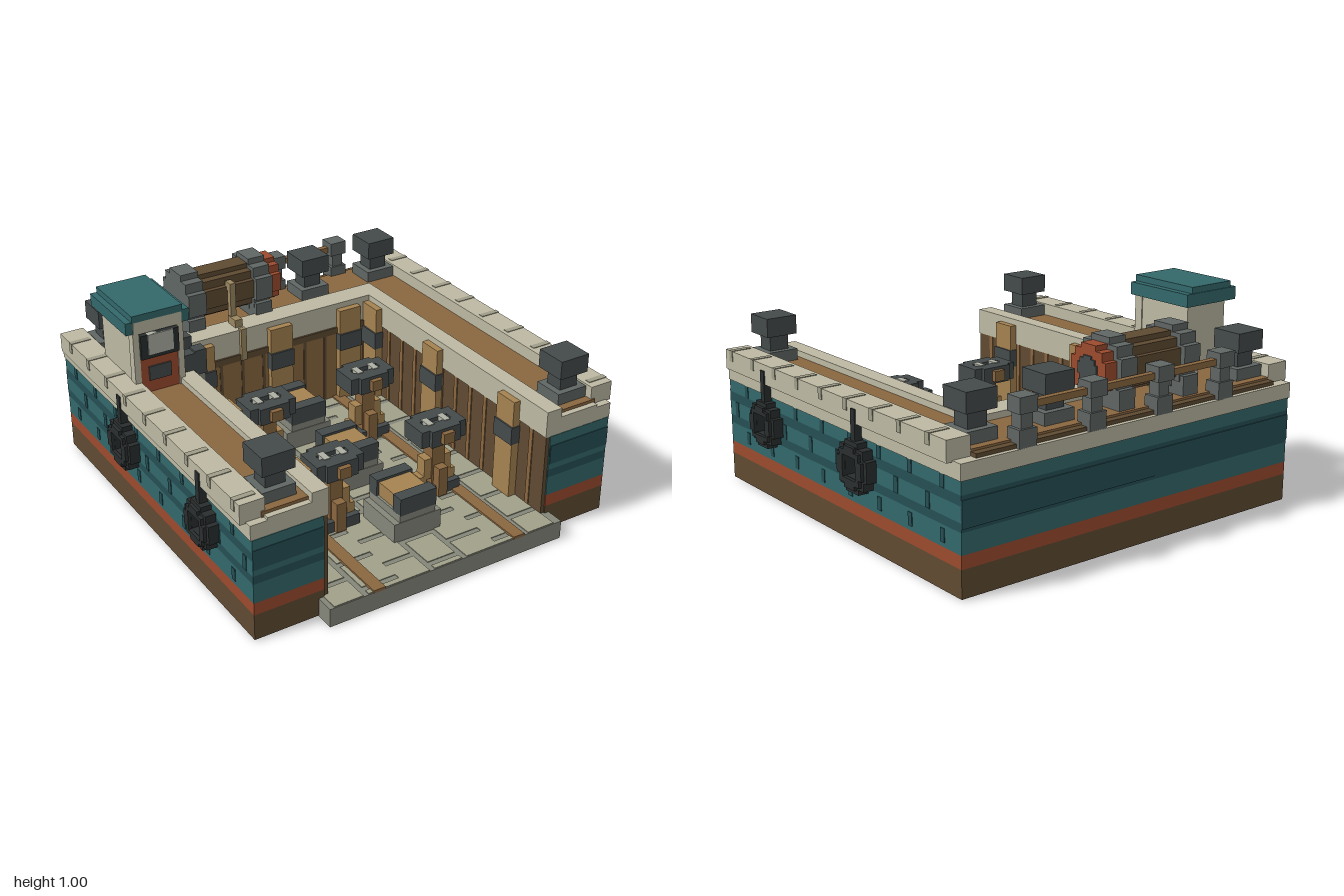
import * as THREE from 'three';

const palette = {
  cream: 0xbdb9a3, creamDark: 0x9f9d88, teal: 0x33686b, tealDark: 0x264f55, red: 0x9c4a2e,
  brown: 0x5f4a32, wood: 0x8a6640, lightWood: 0xa58250, iron: 0x444a4a, grey: 0x5f6664,
  stone: 0xa0a08a, stoneDark: 0x85867a, black: 0x2a2e2e, rope: 0x9a8760, pale: 0xaeb0a4,
};
const mats = {};
for (const k in palette) mats[k] = new THREE.MeshStandardMaterial({ color: palette[k], flatShading: true });

export function createModel() {
  const root = new THREE.Group();
  root.name = 'dryDock';

  // Box from its limits on each axis
  const box = (name, color, [x0, x1], [y0, y1], [z0, z1], parent = root) => {
    const m = new THREE.Mesh(new THREE.BoxGeometry(Math.abs(x1 - x0), y1 - y0, z1 - z0), mats[color]);
    m.position.set((x0 + x1) / 2, (y0 + y1) / 2, (z0 + z1) / 2);
    m.name = name;
    parent.add(m);
    return m;
  };
  const group = (name, x = 0, y = 0, z = 0) => {
    const g = new THREE.Group();
    g.name = name;
    g.position.set(x, y, z);
    root.add(g);
    return g;
  };
  const around = (c, h) => [c - h, c + h];

  // Stepped disc facing x, optionally with a square hole
  const steppedDisc = (name, color, x, r, hole = 0) => {
    const p = [[1, .42], [.78, .78], [.42, 1]].map(([a, b]) => [a * r, b * r]);
    const pts = [];
    const corner = [[p[0][0], p[0][1]], [p[1][0], p[0][1]], [p[1][0], p[1][1]], [p[2][0], p[1][1]], [p[2][0], p[2][1]]];
    const back = [...corner].reverse();
    corner.forEach(([a, b]) => pts.push([a, b]));
    back.forEach(([a, b]) => pts.push([-a, b]));
    corner.forEach(([a, b]) => pts.push([-a, -b]));
    back.forEach(([a, b]) => pts.push([a, -b]));
    const shape = new THREE.Shape(pts.map(([a, b]) => new THREE.Vector2(a, b)));
    if (hole) shape.holes.push(new THREE.Path([[-1, -1], [-1, 1], [1, 1], [1, -1]].map(([a, b]) => new THREE.Vector2(a * hole, b * hole))));
    const g = new THREE.ExtrudeGeometry(shape, { depth: x[1] - x[0], bevelEnabled: false });
    g.rotateY(Math.PI / 2).translate(x[0], 0, 0);
    const m = new THREE.Mesh(g, mats[color]);
    m.name = name;
    return m;
  };

  // Hull in coloured bands: two side walls and the rear wall
  const bands = [['brown', .004, .13], ['red', .13, .19], ['teal', .19, .285], ['tealDark', .285, .325],
    ['teal', .325, .395], ['tealDark', .395, .44], ['teal', .44, .5]];
  for (const [c, y0, y1] of bands) {
    for (const s of [-1, 1]) box('sideHull', c, [s * .595, s * .935], [y0, y1], [-.975, .89]);
    box('rearHull', c, [-.595, .595], [y0, y1], [-.975, -.56]);
  }
  box('rearBand', 'tealDark', [-.935, .935], [.3, .42], [-.979, -.97]);

  for (const s of [-1, 1]) {
    box('frontBand', 'tealDark', [s * .6, s * .935], [.355, .45], [.885, .893]);
    // Brick joints on the outer sides
    [[.21, .27, 0], [.325, .395, .1], [.44, .5, 0]].forEach(([y0, y1, off]) => {
      for (let z = -.85 + off; z < .88; z += .225)
        box('brickJoint', 'tealDark', [s * .93, s * .938], [y0, y1], around(z, .014));
    });
    // Copings and deck of the side walls
    box('lowerCoping', 'cream', [s * .58, s * .94], [.5, .572], [-.98, .888]);
    box('sideDeck', 'wood', [s * .64, s * .87], [.57, .6], [-.92, .86]);
    box('outerCoping', 'cream', [s * .85, s * .968], [.565, .66], [-.925, .853]);
    box('innerCoping', 'cream', [s * .57, s * .652], [.5, .63], [-.67, .888]);
    box('frontCurb', 'cream', [s * .64, s * .86], [.56, .585], [.83, .888]);
    for (let z = -.8; z < .85; z += .2)
      box('copingJoint', 'creamDark', [s * .87, s * .971], [.61, .663], around(z, .014));
  }

  // Rear deck and copings
  box('rearLowerCoping', 'cream', [-.94, .94], [.5, .572], [-.98, -.55]);
  box('rearDeck', 'wood', [-.85, .85], [.57, .6], [-.925, -.56]);
  box('rearPlank', 'brown', [-.85, .85], [.565, .59], [-.96, -.922]);
  box('rearInnerCoping', 'cream', [-.652, .652], [.5, .63], [-.672, -.55]);

  // Dock floor with paving joints and skid rails
  box('floorSlab', 'stoneDark', [-.623, .62], [0, .092], [-.55, .98]);
  for (let i = 0; i < 7; i++) {
    const x0 = -.6 + i * .172;
    for (let z = -.55 - (i % 2) * .1; z < .97; z += .2)
      box('paving', 'stone', [x0, x0 + (i % 3 === 1 ? .172 : .145)], [.085, .096], [Math.max(z, -.55), Math.min(z + .172, .976)]);
  }
  for (const s of [-1, 1]) box('skidRail', 'wood', [s * .345, s * .405], [.09, .104], [-.55, .982]);

  // Plank linings of the dock basin
  box('rearLining', 'wood', [-.6, .6], [.095, .47], [-.565, -.545]);
  box('rearLiningTop', 'brown', [-.6, .6], [.465, .5], [-.565, -.54]);
  for (let x = -.54; x < .56; x += .12) box('rearPlankGap', 'brown', around(x, .008), [.1, .47], [-.55, -.542]);
  for (const s of [-1, 1]) {
    box('sideLining', 'brown', [s * .575, s * .605], [.095, .5], [-.55, .885]);
    for (let z = -.48; z < .88; z += .115) box('sidePlank', 'wood', [s * .57, s * .58], [.1, .5], around(z, .012));
    for (const z of [-.49, .04, .635]) {
      box('sidePost', 'lightWood', [s * .535, s * .58], [.095, .6], around(z, .062));
      box('postBand', 'iron', [s * .527, s * .58], [.38, .47], around(z, .066));
    }
  }
  for (const x of [-.41, .03, .435]) {
    box('rearPost', 'lightWood', around(x, .063), [.095, .6], [-.55, -.515]);
    box('postBand', 'iron', around(x, .066), [.38, .47], [-.55, -.505]);
  }

  // Keel blocks along the centre line
  for (const z of [-.335, .135, .6]) {
    const g = group('keelBlock', 0, 0, z);
    box('blockBase', 'stoneDark', [-.127, .125], [.09, .19], [-.125, .125], g);
    box('blockBody', 'stoneDark', [-.097, .095], [.19, .23], [-.122, .122], g);
    box('blockTimber', 'lightWood', [-.085, .085], [.22, .3], [-.08, .08], g);
    for (const s of [-1, 1]) box('blockClamp', 'iron', [-.097, .097], [.225, .312], around(s * .095, .03), g);
  }

  // Hull support stands
  for (const s of [-1, 1]) for (const z of [-.14, .45]) {
    const g = group('supportStand', s * .28, 0, z);
    g.scale.x = 1;
    box('standFoot', 'iron', [-.11, .11], [.092, .15], [-.06, .06], g);
    box('standPost', 'wood', [-.035, .035], [.1, .42], [-.035, .035], g);
    for (const d of [-1, 1]) {
      box('braceLow', 'lightWood', [d * .06, d * .1], [.13, .2], [-.03, .03], g);
      box('braceMid', 'lightWood', [d * .03, d * .075], [.18, .29], [-.03, .03], g);
      box('sideBrace', 'wood', [-.025, .025], [.1, .25], around(d * .055, .025), g);
      box('headNub', 'wood', [-.03, .03], [.4, .455], around(d * .09, .025), g);
      box('headPad', 'pale', around(d * .045, .016), [.44, .474], [-.032, .032], g);
      box('headEnd', 'iron', [d * .075, d * .123], [.385, .47], [-.07, .07], g);
      box('headRim', 'iron', [-.08, .08], [.385, .47], around(d * .054, .036), g);
    }
    box('headBed', 'grey', [-.08, .08], [.39, .45], [-.04, .04], g);
  }

  // Mooring bollards
  for (const [x, z] of [[-.765, .745], [.765, .745], [-.765, -.81], [.765, -.81], [.355, -.8]]) {
    const g = group('bollard', x, 0, z);
    box('bollardBase', 'grey', [-.08, .08], [.59, .655], [-.075, .075], g);
    box('bollardNeck', 'iron', [-.048, .048], [.65, .74], [-.045, .045], g);
    box('bollardHead', 'iron', [-.078, .078], [.73, .82], [-.077, .077], g);
  }

  // Rear railing
  for (const x of [-.515, -.145, .235, .605]) {
    box('railPost', 'grey', around(x, .03), [.56, .73], [-.97, -.91]);
    box('railPostFoot', 'grey', around(x, .045), [.57, .65], [-.98, -.9]);
    box('railPostHead', 'grey', around(x, .046), [.715, .785], [-.983, -.9]);
  }
  box('handRail', 'wood', [-.52, .61], [.725, .755], [-.96, -.93]);

  // Winch drum with flanges, drive casing and cable
  const winch = group('winch', 0, .77, -.78);
  winch.add(
    steppedDisc('drum', 'brown', [-.32, -.03], .113),
    steppedDisc('flange', 'grey', [-.41, -.315], .138),
    steppedDisc('flange', 'grey', [-.037, .055], .138),
    steppedDisc('driveCasing', 'red', [.05, .12], .11),
    steppedDisc('driveHub', 'iron', [.115, .128], .06),
  );
  for (const x of [-.365, .01]) box('winchFoot', 'grey', around(x, .045), [-.18, -.08], [-.13, .13], winch);
  box('cableTop', 'rope', [-.19, -.16], [.03, .075], [.1, .15], winch);
  box('cableFall', 'rope', [-.19, -.16], [-.13, .04], [.12, .15], winch);
  box('cableFoot', 'rope', [-.195, -.155], [-.15, -.1], [.13, .2], winch);
  box('cableEnd', 'rope', [-.19, -.16], [-.3, -.13], [.225, .25], winch);

  // Control cabin
  const cabin = group('cabin');
  box('cabinWalls', 'cream', [-.875, -.635], [.59, .915], [-.61, -.3], cabin);
  box('cabinPanel', 'red', [-.85, -.66], [.6, .78], [-.31, -.27], cabin);
  box('panelVent', 'iron', [-.81, -.7], [.66, .73], [-.3, -.262], cabin);
  box('windowFrame', 'black', [-.85, -.66], [.78, .9], [-.31, -.25], cabin);
  box('windowPane', 'pale', [-.815, -.69], [.8, .9], [-.3, -.245], cabin);
  box('doorPost', 'cream', [-.88, -.85], [.6, .91], [-.31, -.265], cabin);
  box('doorPost', 'cream', [-.66, -.63], [.6, .91], [-.31, -.265], cabin);
  box('roofEave', 'teal', [-.91, -.595], [.91, .97], [-.645, -.27], cabin);
  box('roofTop', 'teal', [-.88, -.63], [.965, 1], [-.64, -.265], cabin);
  box('roofGable', 'cream', [-.875, -.635], [.905, .966], [-.3, -.265], cabin);

  // Ladder into the basin, with hooked rail tops
  const ladder = group('ladder');
  for (const z of [-.48, -.33]) {
    box('ladderRail', 'stoneDark', [-.545, -.505], [.095, .66], around(z, .022), ladder);
    box('ladderGrip', 'iron', [-.56, -.5], [.6, .725], around(z, .03), ladder);
    box('ladderHook', 'iron', [-.625, -.53], [.625, .715], around(z, .03), ladder);
  }
  for (let y = .15; y < .62; y += .09) box('ladderRung', 'grey', [-.54, -.51], around(y, .016), [-.48, -.33], ladder);

  // Fender tyres hung on both sides
  for (const s of [-1, 1]) for (const [z, r] of [[.5, .108], [-.265, .115]]) {
    const g = group('fender', 0, .375, z);
    g.add(steppedDisc('tyre', 'black', s > 0 ? [.935, .985] : [-.985, -.935], r, .048));
    g.add(steppedDisc('tyreRim', 'black', s > 0 ? [.98, 1] : [-1, -.98], r * .82, .05));
    box('fenderRope', 'black', [s * .93, s * .975], [.09, .255], [-.016, .016], g);
  }
  return root;
}
